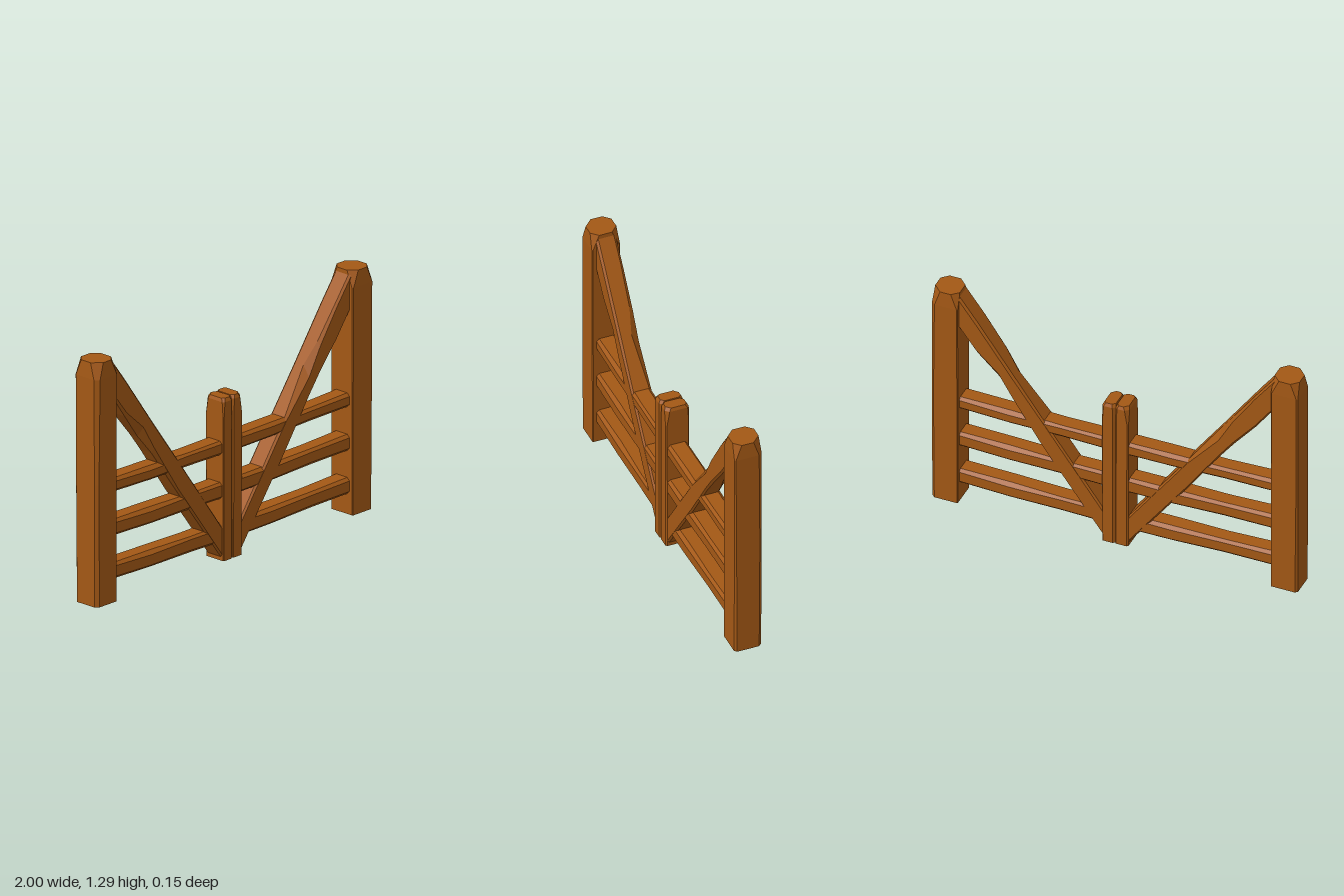
import * as THREE from 'three';

const wood = new THREE.MeshStandardMaterial({ color: 0xa35815, flatShading: true });

// Rectangle with cut corners; cuts run low-low, high-low, high-high, low-high.
function cutRect(a0, a1, b0, b1, cuts, stretch = 1) {
  const [p, q, r, s] = cuts;
  return [
    [a0, b0 + p * stretch], [a0 + p, b0],
    [a1 - q, b0], [a1, b0 + q * stretch],
    [a1, b1 - r * stretch], [a1 - r, b1],
    [a0 + s, b1], [a0, b1 - s * stretch],
  ];
}

// Closed solid through a list of rings, with caps at both ends.
function loft(rings) {
  const tris = [];
  const n = rings[0].length;
  const centre = (ring) => ring.reduce((c, p) => c.add(p), new THREE.Vector3()).divideScalar(n);
  const first = rings[0], last = rings[rings.length - 1];
  const c0 = centre(first), c1 = centre(last);
  for (let j = 0; j < n; j++) {
    const k = (j + 1) % n;
    for (let i = 0; i + 1 < rings.length; i++) {
      const a = rings[i], b = rings[i + 1];
      tris.push([a[j], a[k], b[k]], [a[j], b[k], b[j]]);
    }
    tris.push([c0, first[k], first[j]], [c1, last[j], last[k]]);
  }
  // A negative volume means the faces point inwards.
  const volume = tris.reduce((v, [a, b, c]) => v + a.dot(b.clone().cross(c)), 0);
  if (volume < 0) tris.forEach((t) => t.reverse());
  const geometry = new THREE.BufferGeometry().setFromPoints(tris.flat());
  geometry.computeVertexNormals();
  return geometry;
}

function part(name, geometry) {
  const mesh = new THREE.Mesh(geometry, wood);
  mesh.name = name;
  return mesh;
}

// Upright timber; each level is [y, x0, x1, z0, z1, cuts].
function post(name, levels) {
  return part(name, loft(levels.map(([y, x0, x1, z0, z1, cuts]) =>
    cutRect(x0, x1, z0, z1, cuts).map(([x, z]) => new THREE.Vector3(x, y, z)))));
}

// Timber running along x; each station is [x, yLow, yHigh, cuts].
function beam(name, stations, depth, stretch) {
  return part(name, loft(stations.map(([x, y0, y1, cuts]) =>
    cutRect(-depth, depth, y0, y1, cuts, stretch).map(([z, y]) => new THREE.Vector3(x, y, z)))));
}

function gateHalf() {
  const half = new THREE.Group();

  // Tall outer post, worn at the top corners
  half.add(post('outerPost', [
    [0, 0.853, 0.998, -0.074, 0.075, [0.004, 0.018, 0.012, 0.004]],
    [0.65, 0.853, 1, -0.075, 0.075, [0.004, 0.016, 0.008, 0.004]],
    [1.21, 0.853, 1, -0.077, 0.076, [0.004, 0.022, 0.006, 0.006]],
    [1.295, 0.857, 0.995, -0.072, 0.072, [0.035, 0.045, 0.035, 0.04]],
  ]));

  // Short meeting post, with a groove where the two halves touch
  half.add(post('meetingPost', [
    [0, 0, 0.07, -0.064, 0.062, [0.012, 0.004, 0.008, 0.004]],
    [0.76, 0, 0.071, -0.065, 0.062, [0.012, 0.004, 0.006, 0.008]],
    [0.845, 0, 0.071, -0.065, 0.062, [0.014, 0.01, 0.02, 0.01]],
    [0.862, 0.004, 0.064, -0.056, 0.054, [0.016, 0.012, 0.022, 0.014]],
  ]));

  // Three rails that dip slightly toward the middle
  [[0.097, 0.185], [0.327, 0.415], [0.56, 0.635]].forEach(([low, high], i) => {
    half.add(beam(['bottomRail', 'middleRail', 'topRail'][i], [
      [0.04, low, high, [0.014, 0.012, 0.014, 0.014]],
      [0.3, low + 0.002, high, [0.018, 0.012, 0.018, 0.012]],
      [0.58, low + 0.006, high + 0.004, [0.012, 0.02, 0.014, 0.02]],
      [0.87, low + 0.012, high + 0.01, [0.016, 0.014, 0.016, 0.014]],
    ], 0.053, 1));
  });

  // Diagonal brace with hewn hollows part way up
  half.add(beam('diagonalBrace', [
    [0.055, 0, 0.165, [0.01, 0.01, 0.01, 0.01]],
    [0.39, 0.455, 0.63, [0.012, 0.01, 0.012, 0.01]],
    [0.56, 0.7, 0.865, [0.022, 0.01, 0.04, 0.012]],
    [0.64, 0.805, 0.977, [0.042, 0.012, 0.018, 0.012]],
    [0.76, 0.95, 1.145, [0.016, 0.01, 0.012, 0.012]],
    [0.865, 1.095, 1.285, [0.01, 0.01, 0.012, 0.012]],
  ], 0.054, 1.4));

  return half;
}

export function createModel() {
  const model = new THREE.Group();
  model.name = 'fieldGate';
  const left = gateHalf();
  left.name = 'leftGate';
  // The second half is the first turned half way round
  const right = gateHalf();
  right.name = 'rightGate';
  right.rotation.y = Math.PI;
  model.add(left, right);
  return model;
}
